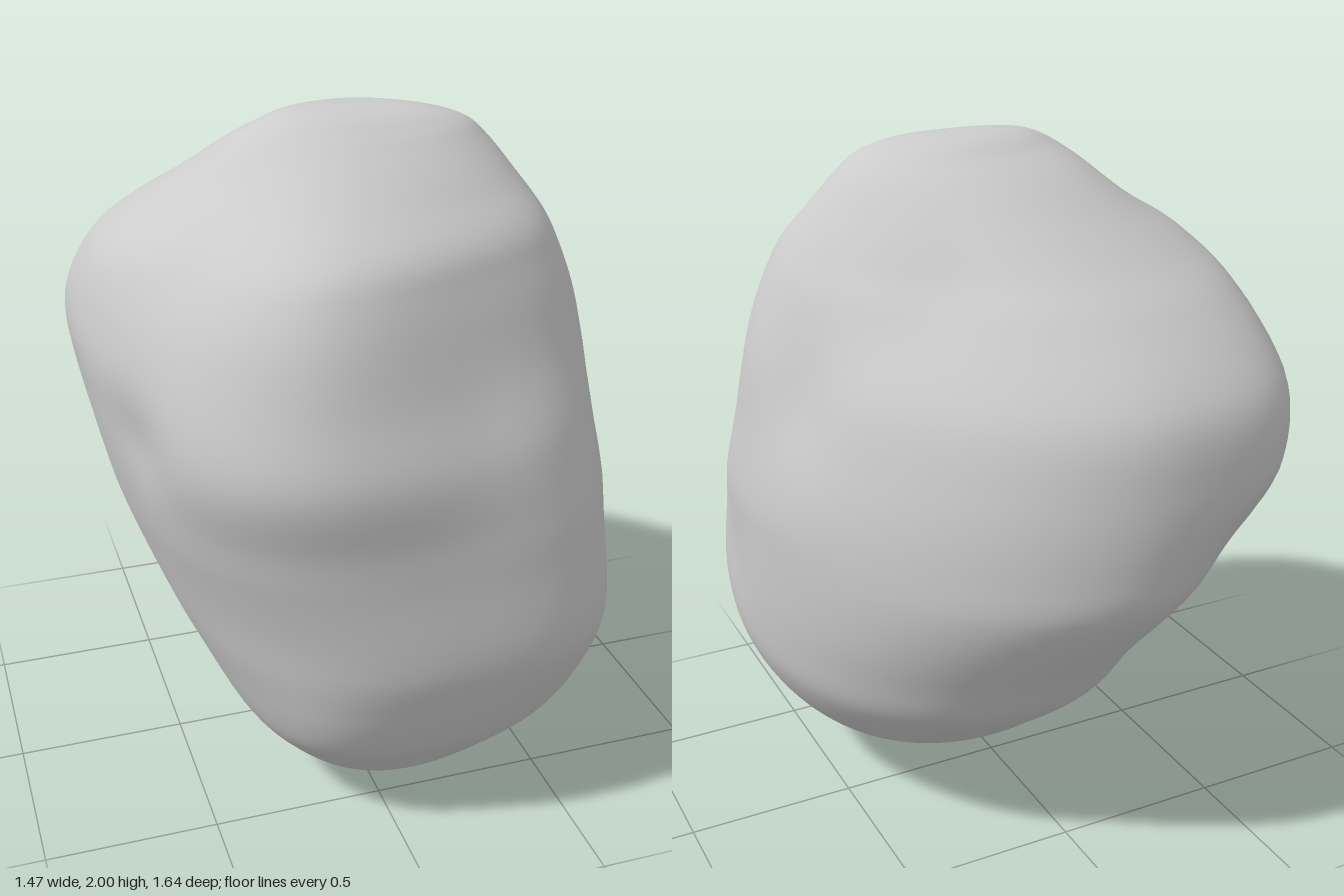
import * as THREE from 'three';

// Level outlines from base to crown: y, xMin, xMax, zMin, zMax
const LEVELS = [
  [0, 0.08, 0.08, 0.33, 0.33],
  [0.012, -0.02, 0.19, 0.23, 0.41],
  [0.05, -0.10, 0.28, 0.12, 0.47],
  [0.1, -0.19, 0.37, 0.0, 0.54],
  [0.2, -0.30, 0.52, -0.20, 0.63],
  [0.3, -0.38, 0.62, -0.33, 0.70],
  [0.45, -0.46, 0.70, -0.51, 0.765],
  [0.6, -0.53, 0.725, -0.61, 0.81],
  [0.87, -0.635, 0.73, -0.80, 0.805],
  [1.0, -0.67, 0.73, -0.82, 0.805],
  [1.2, -0.71, 0.70, -0.82, 0.815],
  [1.4, -0.735, 0.67, -0.78, 0.74],
  [1.6, -0.68, 0.60, -0.59, 0.66],
  [1.7, -0.60, 0.55, -0.45, 0.60],
  [1.8, -0.46, 0.48, -0.31, 0.46],
  [1.9, -0.33, 0.40, -0.16, 0.32],
  [1.95, -0.25, 0.34, -0.06, 0.25],
  [1.985, -0.17, 0.22, 0.01, 0.19],
  [2, -0.04, -0.04, 0.1, 0.1],
];

// Shape of each outline: y, sideways shift of its +x, -x, +z, -z ends,
// then fullness of its corners (+x+z, -x+z, -x-z, +x-z)
const SHAPES = [
  [0, 0, 0, 0, 0, 0, 0, 0, 0],
  [0.2, 0.05, 0, 0, 0, 0.04, 0.08, 0, 0.04],
  [0.4, 0.1, 0, 0, -0.01, 0.05, 0.06, -0.02, 0.03],
  [0.65, 0.13, 0, 0.02, -0.04, 0.06, 0.03, -0.05, 0.04],
  [0.92, 0.15, 0, -0.05, -0.09, 0.06, 0.03, -0.05, 0.02],
  [1.17, 0.15, 0, -0.14, -0.13, 0.02, 0, 0.07, 0.03],
  [1.5, 0.18, 0, -0.15, -0.12, -0.06, -0.06, 0.02, -0.01],
  [1.75, 0.1, 0.02, -0.1, -0.06, -0.06, -0.12, 0, -0.02],
  [2, 0.04, 0, 0, 0, 0, 0, 0, 0],
];

// Soft bumps and hollows: x, y, z, radius, height
const DENTS = [
  [0.64, 1.38, -0.08, 0.17, -0.035],
  [-0.36, 1.76, 0.12, 0.14, -0.035],
  [-0.18, 1.5, 0.68, 0.2, 0.02],
  [-0.22, 0.4, 0.66, 0.14, 0.015],
  [0.2, 1.25, 0.72, 0.18, -0.015],
  [0.68, 0.72, 0.32, 0.14, -0.015],
  [-0.6, 1.22, 0.36, 0.13, -0.04],
  [-0.45, 0.76, -0.48, 0.18, -0.03],
  [0.3, 1.65, -0.3, 0.15, -0.015],
];

const SEGMENTS = 96;
const RINGS = 110;

function rockGeometry() {
  const xs = new THREE.CatmullRomCurve3(LEVELS.map(l => new THREE.Vector3(l[1], l[0], l[2])));
  const zs = new THREE.CatmullRomCurve3(LEVELS.map(l => new THREE.Vector3(l[3], l[0], l[4])));
  const shapes = new THREE.CubicInterpolant(
    SHAPES.map(s => s[0]), SHAPES.flatMap(s => s.slice(1)), 8, new Array(8));
  const core = new THREE.Vector3(0, 1, 0.05);
  const positions = [];
  const indices = [];
  const p = new THREE.Vector3();
  const spot = new THREE.Vector3();

  for (let i = 0; i <= RINGS; i++) {
    const a = xs.getPoint(i / RINGS);
    const b = zs.getPoint(i / RINGS);
    const cx = (a.x + a.z) / 2, cz = (b.x + b.z) / 2;
    const [right, left, front, back, ...corners] = shapes.evaluate(THREE.MathUtils.clamp(a.y, 0, 2));
    // The sideways shifts fade out where the outline closes to a point
    const fade = Math.min(1, (a.z - a.x) / 0.4);
    for (let j = 0; j < SEGMENTS; j++) {
      const angle = (j / SEGMENTS) * Math.PI * 2;
      const c = Math.cos(angle), s = Math.sin(angle);
      const corner = corners[Math.floor((4 * j) / SEGMENTS)];
      const full = 1 + corner * Math.sin(2 * angle) ** 2;
      p.set(
        cx + c * full * (a.z - a.x) / 2 + fade * s * s * (s > 0 ? front : back),
        a.y,
        cz + s * full * (b.z - b.x) / 2 + fade * c * c * (c > 0 ? right : left),
      );
      // Push the surface in or out around each spot
      let push = 0;
      for (const [x, y, z, radius, height] of DENTS) {
        push += height * Math.exp(-p.distanceToSquared(spot.set(x, y, z)) / (radius * radius));
      }
      p.addScaledVector(spot.copy(p).sub(core).normalize(), push);
      positions.push(p.x, p.y, p.z);
    }
  }
  for (let i = 0; i < RINGS; i++) {
    for (let j = 0; j < SEGMENTS; j++) {
      const k = (j + 1) % SEGMENTS;
      const a = i * SEGMENTS + j, b = i * SEGMENTS + k;
      const c = a + SEGMENTS, d = b + SEGMENTS;
      if (i < RINGS - 1) indices.push(a, c, d);
      if (i > 0) indices.push(a, d, b);
    }
  }
  const geometry = new THREE.BufferGeometry();
  geometry.setAttribute('position', new THREE.Float32BufferAttribute(positions, 3));
  geometry.setIndex(indices);
  geometry.computeVertexNormals();
  return geometry;
}

export function createModel() {
  const group = new THREE.Group();
  group.name = 'boulder';
  const rock = new THREE.Mesh(rockGeometry(), new THREE.MeshStandardMaterial({ color: 0xcccccc }));
  rock.name = 'rock';
  group.add(rock);
  return group;
}
